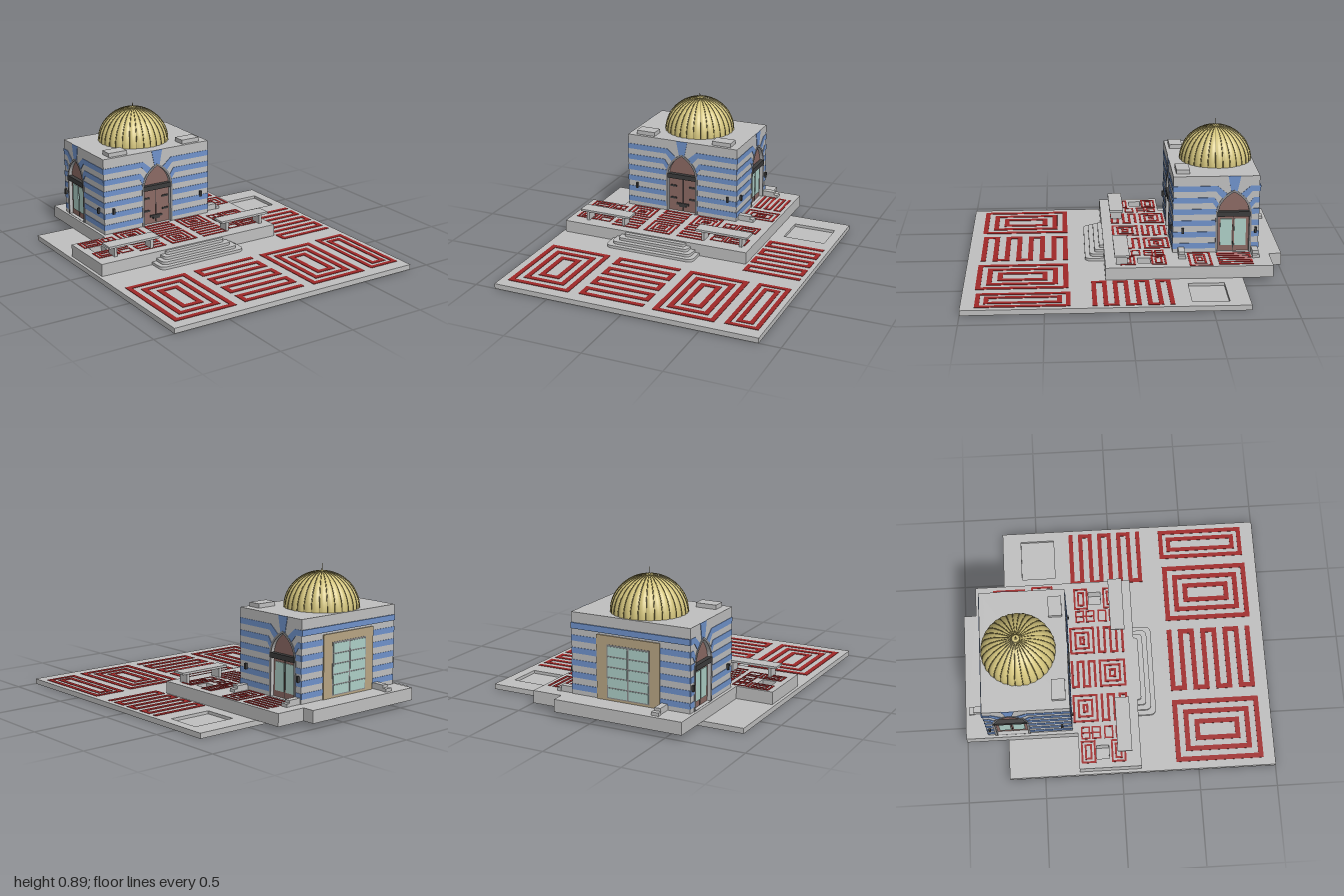
import * as THREE from 'three';

const mat = (name, color, side = THREE.FrontSide) => {
  const m = new THREE.MeshStandardMaterial({ color, side });
  m.name = name;
  return m;
};

export function createModel() {
  const model = new THREE.Group();
  const stone = mat('stone', 0xc0c0c0), blue = mat('blue stone', 0x7093cc), red = mat('red inlay', 0xa02828);
  const gold = mat('gold', 0xd2c37c), darkGold = mat('dark gold', 0x837845), brown = mat('door brown', 0x8c6a64);
  const iron = mat('iron', 0x3c3c3c), glass = mat('glass', 0xaed0c8), beige = mat('beige frame', 0xb8a684);
  const trimGrey = mat('arch trim', 0x8a8a8c);

  const add = (parent, name, geo, material) => {
    const m = new THREE.Mesh(geo, material);
    m.name = name;
    parent.add(m);
    return m;
  };
  // box given by its limits
  const box = (parent, name, material, x0, x1, y0, y1, z0, z1) => {
    const m = add(parent, name, new THREE.BoxGeometry(x1 - x0, y1 - y0, z1 - z0), material);
    m.position.set((x0 + x1) / 2, (y0 + y1) / 2, (z0 + z1) / 2);
    return m;
  };
  const poly = (pts) => new THREE.Shape(pts.map(([x, y]) => new THREE.Vector2(x, y)));
  const extrude = (shape, depth) => new THREE.ExtrudeGeometry(shape, { depth, bevelEnabled: false, curveSegments: 10 });
  // horizontal slab with rectangular pits; outline in x, z
  const slab = (name, pts, pits, y0, y1) => {
    const s = poly(pts.map(([x, z]) => [x, -z]));
    for (const [x0, x1, z0, z1] of pits) s.holes.push(poly([[x0, -z0], [x0, -z1], [x1, -z1], [x1, -z0]]));
    add(model, name, extrude(s, y1 - y0).rotateX(-Math.PI / 2), stone).position.y = y0;
  };

  // ground slab, sunken pool and raised platform
  slab('groundSlab', [[-0.865, 1], [0.865, 1], [0.865, -0.73], [-0.865, -0.73]], [[0.52, 0.8, -0.605, -0.38]], 0, 0.033);
  box(model, 'poolFloor', stone, 0.52, 0.8, 0, 0.014, -0.605, -0.38);
  slab('platform', [[-0.845, 0.125], [0.445, 0.125], [0.445, -0.92], [0.245, -0.92], [0.245, -1], [-0.605, -1],
    [-0.605, -0.275], [-0.845, -0.275]], [[-0.785, -0.695, -0.16, -0.08], [0.285, 0.37, -0.16, -0.08]], 0.033, 0.112);

  // front steps with rounded corners
  for (let i = 0; i < 4; i++) {
    const x0 = -0.49 + i * 0.031, x1 = 0.125 - i * 0.031, zf = 0.245 - i * 0.031, r = 0.045 - i * 0.008;
    const s = new THREE.Shape();
    s.moveTo(x0, -0.12);
    s.lineTo(x0, -zf + r);
    s.quadraticCurveTo(x0, -zf, x0 + r, -zf);
    s.lineTo(x1 - r, -zf);
    s.quadraticCurveTo(x1, -zf, x1, -zf + r);
    s.lineTo(x1, -0.12);
    add(model, 'step', extrude(s, 0.018 * (i + 1)).rotateX(-Math.PI / 2), stone).position.y = 0.033;
  }

  // benches
  for (const x of [-0.58, 0.25]) {
    box(model, 'benchSeat', stone, x - 0.18, x + 0.18, 0.173, 0.187, -0.025, 0.068);
    for (const d of [-0.13, 0.13]) box(model, 'benchLeg', stone, x + d - 0.01, x + d + 0.01, 0.112, 0.173, -0.015, 0.058);
  }

  // low walls beside the building
  for (const z of [-0.828, -0.362]) {
    box(model, 'lowWall', stone, 0.205, 0.29, 0.112, 0.15, z - 0.02, z + 0.02);
    box(model, 'lowWallEnd', stone, 0.29, 0.315, 0.112, 0.132, z - 0.023, z + 0.023);
  }
  box(model, 'rearLowWall', stone, -0.44, -0.4, 0.112, 0.15, -0.945, -0.855);
  box(model, 'rearLowWallEnd', stone, -0.445, -0.395, 0.112, 0.132, -0.975, -0.945);

  // red floor inlays
  const strip = (y, x0, x1, z0, z1) => box(model, 'inlay', red, x0, x1, y, y + 0.003, z0, z1);
  const ring = (y, x0, x1, z0, z1, w) => {
    strip(y, x0, x1, z0, z0 + w);
    strip(y, x0, x1, z1 - w, z1);
    strip(y, x0, x0 + w, z0 + w, z1 - w);
    strip(y, x1 - w, x1, z0 + w, z1 - w);
  };
  const rings = (y, x0, x1, z0, z1, w, gap, n) => {
    for (let i = 0; i < n; i++) ring(y, x0 + i * gap, x1 - i * gap, z0 + i * gap, z1 - i * gap, w);
  };
  const snake = (y, x0, x1, z0, z1, w, n) => {
    const p = (z1 - z0 - w) / (n - 1);
    for (let i = 0; i < n; i++) {
      const z = z0 + i * p;
      strip(y, x0, x1, z, z + w);
      if (i < n - 1) i % 2 ? strip(y, x1 - w, x1, z + w, z + p) : strip(y, x0, x0 + w, z + w, z + p);
    }
  };
  const g = 0.033, p = 0.112;
  rings(g, -0.815, -0.395, 0.355, 0.925, 0.032, 0.069, 3);
  snake(g, -0.33, 0.1, 0.355, 0.915, 0.032, 8);
  rings(g, 0.165, 0.56, 0.355, 0.925, 0.032, 0.065, 3);
  rings(g, 0.62, 0.83, 0.345, 0.915, 0.028, 0.052, 2);
  snake(g, 0.46, 0.835, -0.275, 0.215, 0.028, 8);
  rings(p, 0.21, 0.43, -0.545, -0.4, 0.013, 0.034, 2);
  ring(p, 0.285, 0.355, -0.492, -0.453, 0.011);
  for (let i = 0; i < 6; i++) {
    const x = 0.225 + i * 0.0355;
    strip(p, x, x + 0.016, -0.8, -0.585);
    if (i < 5) i % 2 ? strip(p, x + 0.016, x + 0.0355, -0.8, -0.786) : strip(p, x + 0.016, x + 0.0355, -0.599, -0.585);
  }
  [-0.535, -0.3, -0.065].forEach((x, i) => {
    const [a, b] = i === 1 ? [snake, rings] : [rings, snake];
    const draw = (f, z0, z1) => f === snake ? snake(p, x, x + 0.188, z0, z1, 0.016, 5) : rings(p, x, x + 0.188, z0, z1, 0.014, 0.032, 3);
    draw(a, -0.3, -0.135);
    draw(b, -0.115, 0.06);
  });
  for (const x of [-0.65, 0.157]) {
    for (const z of [-0.255, -0.185, -0.105, -0.03]) ring(p, x, x + 0.085, z, z + 0.06, 0.01);
    strip(p, x + 0.038, x + 0.048, -0.25, -0.13);
  }
  for (const x of [-0.81, 0.25])
    for (const z of [-0.26, -0.065]) rings(p, x, x + 0.15, z, z + 0.095, 0.012, 0.024, 2);

  // pointed arch opening, enlarged by e
  const archPath = (path, c, e) => {
    path.moveTo(c - 0.1 - e, 0.112);
    path.lineTo(c + 0.1 + e, 0.112);
    path.lineTo(c + 0.1 + e, 0.36);
    path.quadraticCurveTo(c + 0.1 + e, 0.46 + e, c, 0.515 + e);
    path.quadraticCurveTo(c - 0.1 - e, 0.46 + e, c - 0.1 - e, 0.36);
    path.lineTo(c - 0.1 - e, 0.112);
    return path;
  };
  const bandTops = [0.556, 0.48, 0.404, 0.328, 0.252, 0.176], bandH = 0.036;

  // striped wall with an arched doorway at c; outer face on local z = 0
  const archedWall = (name, width, c) => {
    const w = new THREE.Group(), h = width / 2;
    w.name = name;
    model.add(w);
    const s = poly([[-h, 0.112], [h, 0.112], [h, 0.62], [-h, 0.62]]);
    // the doorway reaches almost to the floor
    s.holes.push(new THREE.Path(archPath(new THREE.Shape(), c, 0).getPoints(10).map((q) => new THREE.Vector2(q.x, Math.max(q.y, 0.1135)))));
    add(w, 'wallPanel', extrude(s, 0.03), stone).position.z = -0.03;
    const trim = archPath(new THREE.Shape(), c, 0.014);
    trim.holes.push(new THREE.Path(archPath(new THREE.Shape(), c, 0).getPoints(10).map((q) => new THREE.Vector2(q.x, Math.max(q.y, 0.1135)))));
    add(w, 'archTrim', extrude(trim, 0.005), trimGrey);
    // bands, the upper two bending towards the arch
    const band = (pts) => add(w, 'blueBand', extrude(poly(pts), 0.003), blue);
    bandTops.forEach((t, i) => {
      for (const d of [-1, 1]) {
        const end = d * h - c, b = t - bandH;
        const inner = i === 0 ? [[0.115 * d, b], [0.072 * d, 0.47], [0.044 * d, 0.504], [0.105 * d, t]]
          : i === 1 ? [[0.135 * d, b], [0.104 * d, 0.4], [0.092 * d, 0.432], [0.125 * d, t]]
            : [[0.106 * d, b], [0.106 * d, t]];
        band([[end, t], [end, b], ...inner].map(([x, y]) => [x + c, y]));
      }
    });
    band([[c - 0.04, 0.62], [c - 0.02, 0.52], [c + 0.02, 0.52], [c + 0.04, 0.62]]);
    add(w, 'door', extrude(archPath(new THREE.Shape(), c, 0.001), 0.005), brown).position.z = -0.025;
    box(w, 'lintel', iron, c - 0.107, c + 0.107, 0.353, 0.385, -0.02, 0.008);
    box(w, 'doorSeam', iron, c - 0.002, c + 0.002, 0.114, 0.353, -0.02, -0.017);
    return w;
  };
  const front = archedWall('frontWall', 0.79, 0);
  front.position.set(-0.19, 0, -0.31);
  // iron fittings of the front door
  for (const d of [-1, 1])
    for (const y of [0.205, 0.292]) box(front, 'hinge', iron, d * 0.068 - 0.022, d * 0.068 + 0.022, y - 0.006, y + 0.006, -0.02, -0.014);
  box(front, 'lock', iron, -0.045, 0.045, 0.158, 0.172, -0.02, -0.012);
  box(front, 'lockPlate', iron, -0.025, 0.025, 0.145, 0.158, -0.02, -0.012);

  for (const d of [-1, 1]) {
    const c = d * 0.1125;
    const side = archedWall(d > 0 ? 'leftWall' : 'rightWall', 0.545, c);
    side.position.set(d > 0 ? 0.205 : -0.585, 0, -0.5825);
    side.rotation.y = d * Math.PI / 2;
    for (const e of [-1, 1]) box(side, 'doorGlass', glass, c + e * 0.045 - 0.037, c + e * 0.045 + 0.037, 0.152, 0.33, -0.02, -0.015);
  }

  // back wall with framed window
  const back = new THREE.Group();
  back.name = 'backWall';
  back.position.set(-0.19, 0, -0.855);
  back.rotation.y = Math.PI;
  model.add(back);
  box(back, 'wallPanel', stone, -0.395, 0.395, 0.112, 0.62, -0.03, 0);
  bandTops.forEach((t, i) => box(back, 'blueBand', blue, -0.395, 0.395, t - bandH, t, 0, i ? 0.003 : 0.008));
  box(back, 'windowFrame', beige, -0.22, 0.2, 0.112, 0.507, 0, 0.009);
  box(back, 'windowSash', trimGrey, -0.15, 0.135, 0.125, 0.455, 0.009, 0.011);
  for (let r = 0; r < 5; r++)
    for (const x of [-0.142, -0.001]) box(back, 'pane', glass, x, x + 0.129, 0.133 + r * 0.064, 0.189 + r * 0.064, 0.011, 0.014);

  // roof and roof blocks
  box(model, 'roof', stone, -0.56, 0.18, 0.59, 0.62, -0.83, -0.335);
  for (const x of [-0.465, 0.083]) box(model, 'roofBlock', stone, x - 0.066, x + 0.066, 0.62, 0.647, -0.418, -0.333);

  // wall lamps
  const lamp = (x, z) => {
    box(model, 'lamp', iron, x - 0.007, x + 0.007, 0.243, 0.28, z - 0.007, z + 0.007);
  };
  for (const x of [-0.52, 0.143]) lamp(x, -0.303);
  for (const z of [-0.835, -0.372]) [-0.594, 0.214].forEach((x) => lamp(x, z));

  // fluted dome with dark ribs in the grooves
  const dome = new THREE.Group();
  dome.name = 'dome';
  dome.position.set(-0.19, 0.62, -0.615);
  model.add(dome);
  const lobes = 30, R = 0.235, H = 0.22, profile = [];
  for (let i = 0; i <= 16; i++) {
    const a = (i / 16) * Math.PI / 2;
    profile.push(new THREE.Vector2(Math.max(R * Math.cos(a), 0.0005), H * Math.sin(a)));
  }
  const shell = new THREE.LatheGeometry(profile, lobes * 6), pos = shell.attributes.position;
  for (let i = 0; i < pos.count; i++) {
    const a = Math.atan2(pos.getX(i), pos.getZ(i));
    const k = 0.97 + 0.03 * Math.abs(Math.sin(a * lobes / 2));
    pos.setXYZ(i, pos.getX(i) * k, pos.getY(i), pos.getZ(i) * k);
  }
  shell.computeVertexNormals();
  add(dome, 'domeShell', shell, gold);
  const ribPath = new THREE.CatmullRomCurve3(profile.slice(0, 16).map((q) => new THREE.Vector3(0, q.y, q.x * 0.98)));
  const ribGeo = new THREE.TubeGeometry(ribPath, 16, 0.0028, 5);
  for (let i = 0; i < lobes; i++) add(dome, 'domeRib', ribGeo, darkGold).rotation.y = (i / lobes) * Math.PI * 2;
  add(dome, 'finialBase', new THREE.SphereGeometry(0.008, 10, 8), gold).position.y = H;
  add(dome, 'finial', new THREE.CylinderGeometry(0.001, 0.003, 0.046, 8), darkGold).position.y = H + 0.023;

  return model;
}
